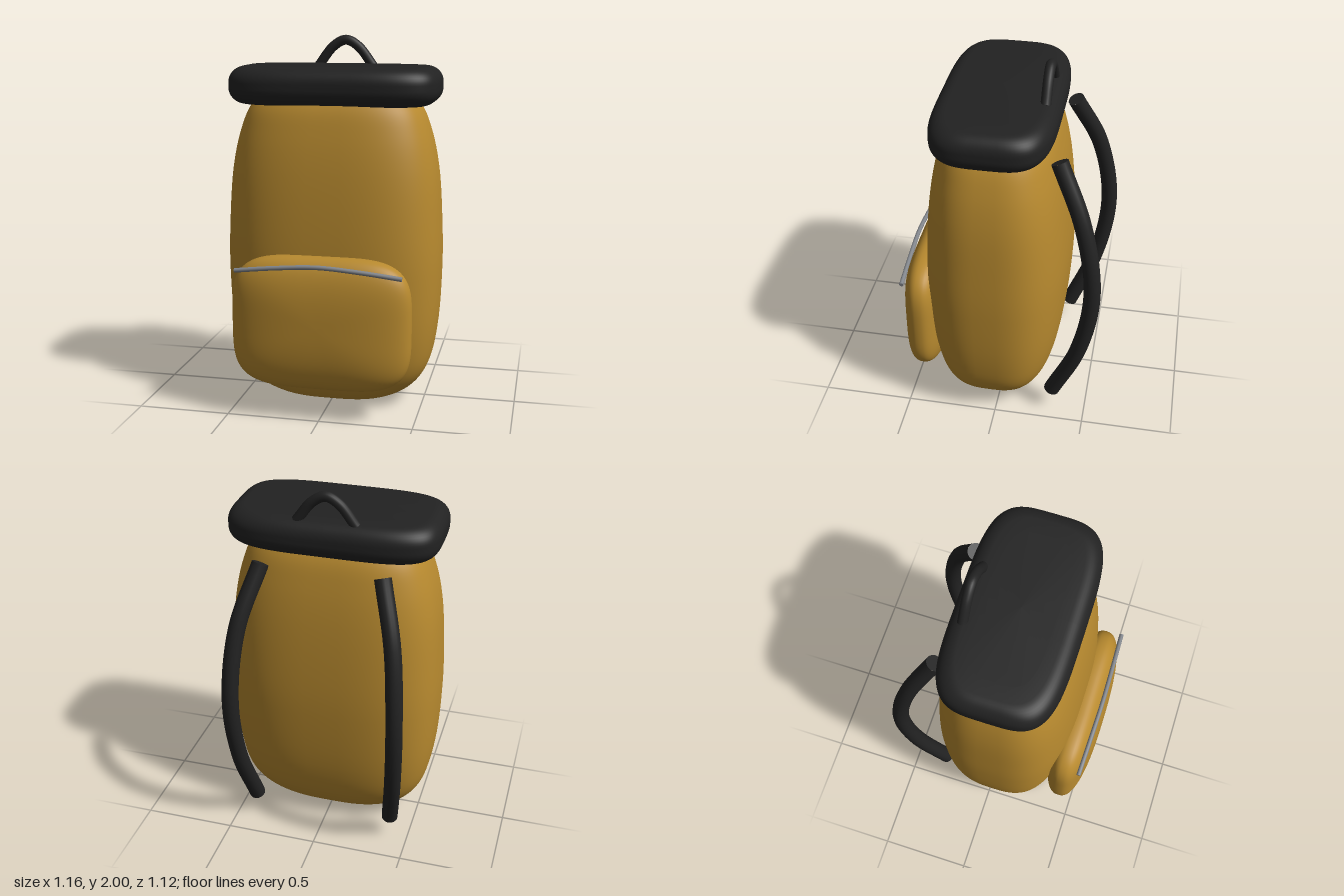
import * as THREE from 'three';

const V = (x, y, z) => new THREE.Vector3(x, y, z);

// Closed soft shell: superelliptic rings { y, a, b } stacked upwards (a, b = half width, half depth)
function shell(rings, power, cols = 96) {
  const pos = [], index = [];
  const bend = (v) => Math.sign(v) * Math.abs(v) ** (2 / power);
  for (const { y, a, b } of rings) {
    for (let j = 0; j < cols; j++) {
      const t = (j / cols) * Math.PI * 2;
      pos.push(a * bend(Math.cos(t)), y, b * bend(Math.sin(t)));
    }
  }
  for (let i = 0; i < rings.length - 1; i++) {
    for (let j = 0; j < cols; j++) {
      const k = (j + 1) % cols;
      const p = i * cols + j, q = i * cols + k, r = p + cols, s = q + cols;
      index.push(p, r, q, q, r, s);
    }
  }
  const g = new THREE.BufferGeometry();
  g.setAttribute('position', new THREE.Float32BufferAttribute(pos, 3));
  g.setIndex(index);
  g.computeVertexNormals();
  return g;
}

// Round cord through points, with flat end caps
function cord(name, points, radius, material) {
  const group = new THREE.Group();
  group.name = name;
  const curve = new THREE.CatmullRomCurve3(points);
  group.add(new THREE.Mesh(new THREE.TubeGeometry(curve, 48, radius, 16), material));
  for (const end of [0, 1]) {
    const cap = new THREE.Mesh(new THREE.CircleGeometry(radius, 16), material);
    cap.position.copy(curve.getPoint(end));
    const out = curve.getTangent(end).multiplyScalar(end ? 1 : -1);
    cap.quaternion.setFromUnitVectors(V(0, 0, 1), out);
    group.add(cap);
  }
  group.children.forEach((m) => { m.name = name; });
  return group;
}

export function createModel() {
  const canvas = new THREE.MeshStandardMaterial({ color: 0xb88a2f });
  canvas.name = 'ochre canvas';
  const black = new THREE.MeshStandardMaterial({ color: 0x222222 });
  black.name = 'black webbing';
  const metal = new THREE.MeshStandardMaterial({ color: 0x82868c });
  metal.name = 'grey metal';

  const model = new THREE.Group();
  model.name = 'backpack';
  const add = (name, geometry, material) => {
    const m = new THREE.Mesh(geometry, material);
    m.name = name;
    model.add(m);
    return m;
  };

  // Main bag: half width, height, half depth up the side
  const profile = new THREE.CatmullRomCurve3([
    V(0, 0.004, 0), V(0.15, 0.007, 0.1), V(0.3, 0.03, 0.185), V(0.435, 0.1, 0.255),
    V(0.518, 0.21, 0.312), V(0.562, 0.4, 0.355), V(0.582, 0.75, 0.382), V(0.577, 1.0, 0.38),
    V(0.555, 1.3, 0.356), V(0.513, 1.5, 0.322), V(0.455, 1.64, 0.28), V(0.35, 1.74, 0.2), V(0, 1.78, 0),
  ]);
  const bagRings = profile.getPoints(72).map((p) => ({ y: p.y, a: Math.max(p.x, 0), b: Math.max(p.z, 0) }));
  add('bag', shell(bagRings, 3), canvas).position.z = 0.038;

  // Lid: flat slab with rounded rim
  const rim = 0.085, half = 0.105, lidRings = [];
  for (const side of [-1, 1]) {
    const arc = [];
    for (let i = 0; i <= 10; i++) {
      const t = (i / 10) * Math.PI / 2;
      const inset = rim * (1 - Math.cos(t));
      arc.push({ y: side * (half - 0.005 - rim + rim * Math.sin(t)), a: 0.565 - inset, b: 0.32 - inset });
    }
    arc.push({ y: side * (half - 0.002), a: 0.4, b: 0.18 }, { y: side * half, a: 0, b: 0 });
    lidRings.push(...(side < 0 ? arc.reverse() : arc));
  }
  add('lid', shell(lidRings, 4), black).position.set(0, 1.745, 0.04);

  // Front pocket: pillow facing forward
  const pocketRings = [];
  for (let i = 0; i <= 40; i++) {
    const t = -Math.PI / 2 + (i / 40) * Math.PI;
    const s = i % 40 ? Math.cos(t) ** 0.8 : 0;
    pocketRings.push({ y: 0.13 * Math.sign(t) * Math.abs(Math.sin(t)) ** 0.8, a: 0.48 * s, b: 0.36 * s });
  }
  const pocket = add('frontPocket', shell(pocketRings, 4), canvas);
  pocket.rotation.x = Math.PI / 2;
  pocket.position.set(0, 0.525, 0.43);

  // Zip across the pocket
  model.add(cord('zip', [V(-0.44, 0.81, 0.52), V(-0.22, 0.835, 0.526), V(0, 0.85, 0.53),
    V(0.22, 0.835, 0.526), V(0.44, 0.81, 0.52)], 0.012, metal));

  // Carry loop on the lid
  model.add(cord('carryLoop', [V(-0.155, 1.83, -0.205), V(-0.07, 1.938, -0.205), V(0, 1.973, -0.205),
    V(0.07, 1.938, -0.205), V(0.155, 1.83, -0.205)], 0.027, black));

  // Shoulder straps
  for (const [side, name] of [[1, 'leftStrap'], [-1, 'rightStrap']]) {
    model.add(cord(name, [V(side * 0.32, 1.615, -0.305), V(side * 0.41, 1.3, -0.445),
      V(side * 0.445, 0.9, -0.512), V(side * 0.435, 0.5, -0.455), V(side * 0.395, 0.13, -0.31)], 0.045, black));
  }
  return model;
}
